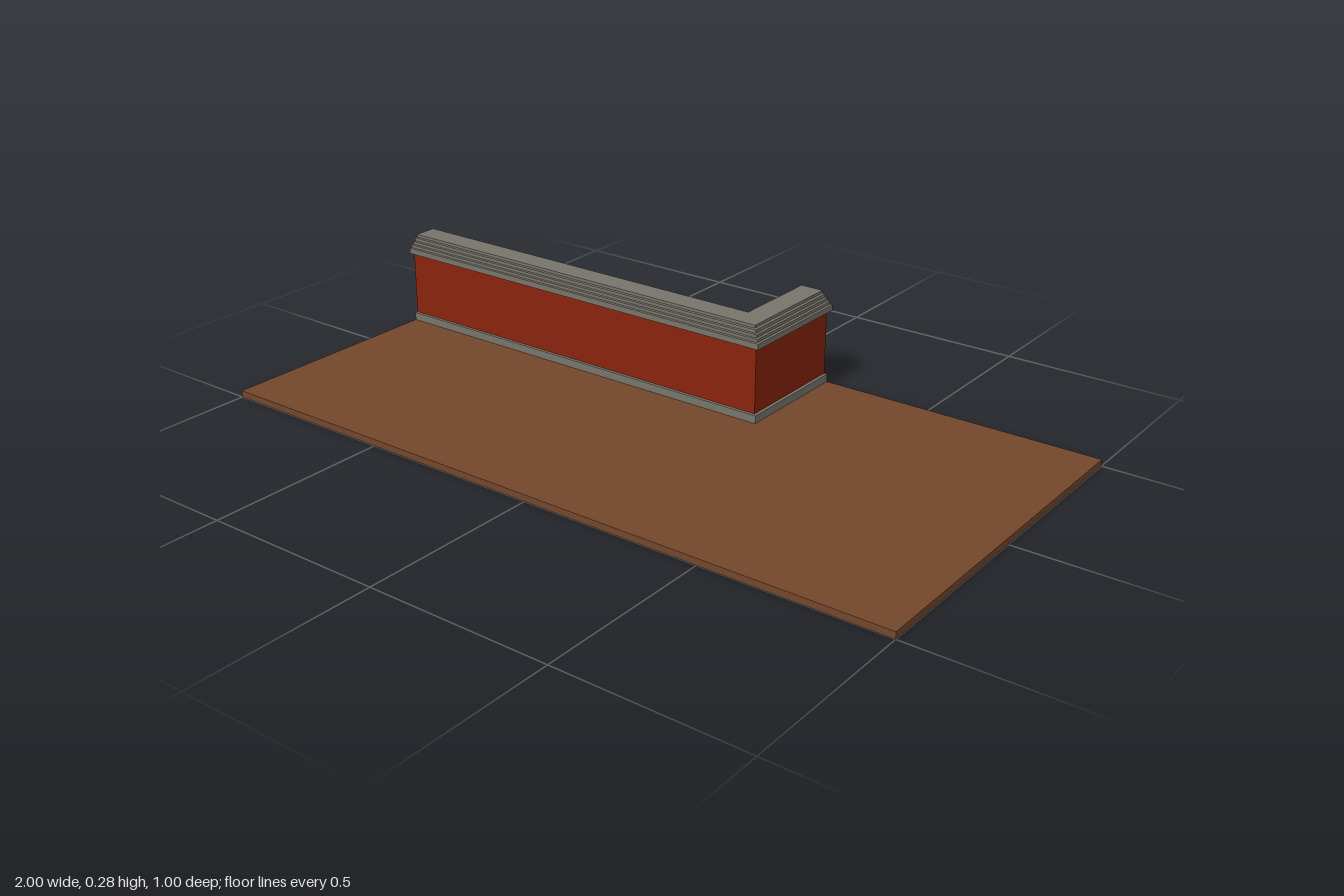
import * as THREE from 'three';

const mat = (name, color) => {
  const m = new THREE.MeshStandardMaterial({ color });
  m.name = name;
  return m;
};

export function createModel() {
  const model = new THREE.Group();
  model.name = 'cornerWall';
  const earth = mat('earthBrown', 0x74472c);
  const brick = mat('brickRed', 0x8a230e);
  const stone = mat('stoneGrey', 0x78756b);
  const hedge = mat('hedgeTeal', 0x23665d);

  // Extrudes a plan outline of [x, z] points from y0 up to y1.
  function slab(name, points, y0, y1, material) {
    const shape = new THREE.Shape(points.map(([x, z]) => new THREE.Vector2(x, -z)));
    const geo = new THREE.ExtrudeGeometry(shape, { depth: y1 - y0, bevelEnabled: false });
    geo.rotateX(-Math.PI / 2).translate(0, y0, 0);
    const mesh = new THREE.Mesh(geo, material);
    mesh.name = name;
    model.add(mesh);
  }

  // L-shaped plan running along the wall's centre line at a given half width.
  const cx = 0.15, cz = -0.215;
  const wallPlan = (h) => [
    [-1, cz + h], [cx + h, cz + h], [cx + h, -0.5],
    [cx - h, -0.5], [cx - h, cz - h], [-1, cz - h],
  ];

  // Ground with the back corner cut away
  slab('ground', [[-1, 0.5], [1, 0.5], [1, -0.5], [0, -0.5], [0, -0.367], [-1, -0.367]], 0, 0.018, earth);

  // Wall: stone footing, brick body and stepped coping
  slab('footing', wallPlan(0.058), 0.018, 0.04, stone);
  slab('brickWall', wallPlan(0.049), 0.04, 0.226, brick);
  const steps = [
    [0.066, 0.226, 0.242], [0.058, 0.242, 0.25], [0.05, 0.25, 0.258],
    [0.042, 0.258, 0.267], [0.033, 0.267, 0.275],
  ];
  steps.forEach(([h, y0, y1], i) => slab(`copingStep${i + 1}`, wallPlan(h), y0, y1, stone));

  // Row of clipped hedges behind the wall, ending in an L-shaped one
  const back = -0.346, front = -0.288, top = 0.1;
  for (let i = 0; i < 6; i++) {
    const x0 = -1 + i * 0.16, x1 = x0 + 0.125;
    slab(`hedge${i + 1}`, [[x0, front], [x1, front], [x1, back], [x0, back]], 0.018, top, hedge);
  }
  slab('cornerHedge', [
    [-0.04, front], [0.075, front], [0.075, -0.494], [0.018, -0.494], [0.018, back], [-0.04, back],
  ], 0.018, top, hedge);

  return model;
}
